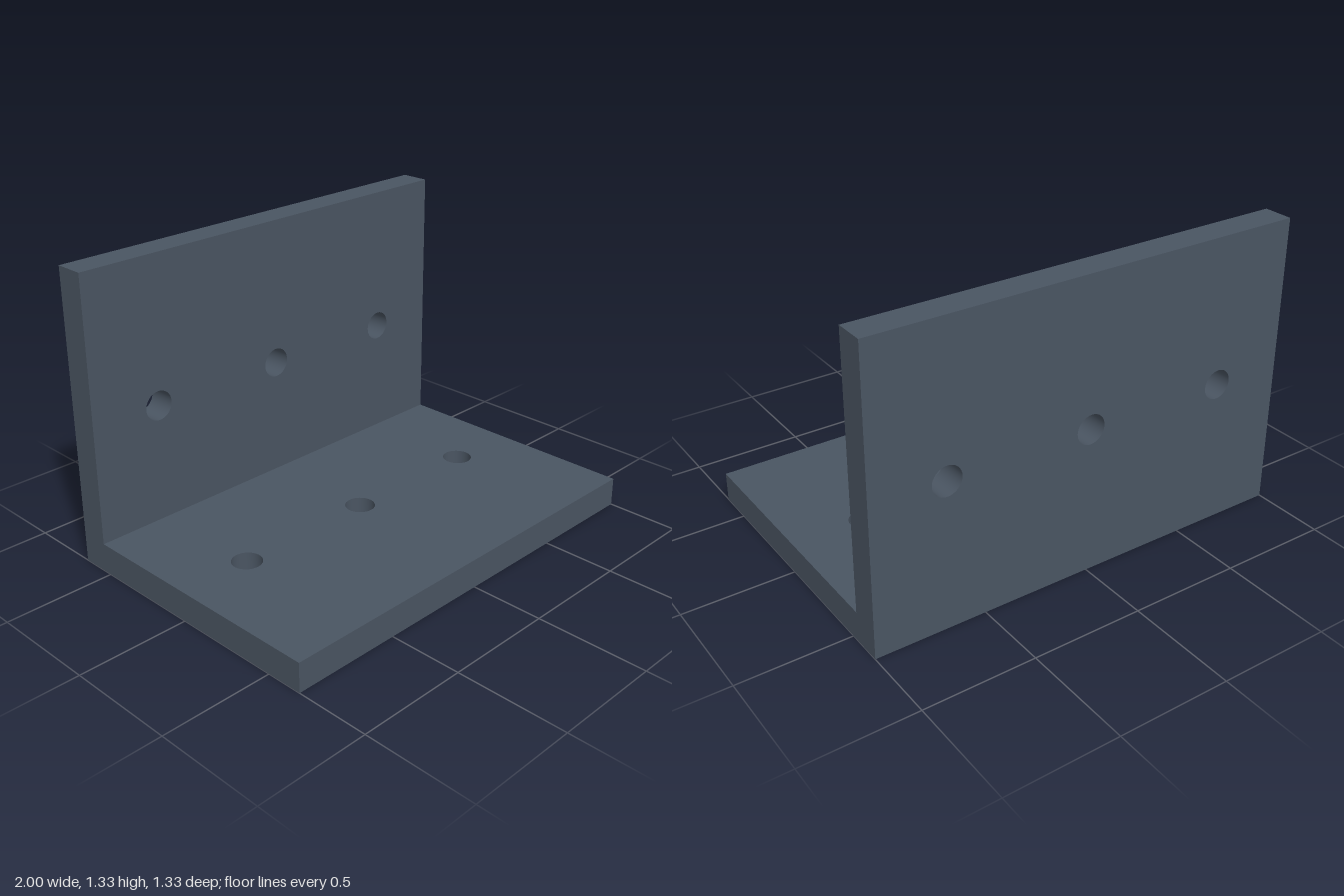
import * as THREE from 'three';
import { toCreasedNormals } from 'three/addons/utils/BufferGeometryUtils.js';

const HALF_WIDTH = 1;
const HALF_DEPTH = 2 / 3;
const HEIGHT = 4 / 3;
const THICKNESS = 0.4 / 3;
const HOLE_RADIUS = 0.2 / 3;
const HOLE_SPACING = 2 / 3;

// Plate spanning bottom..top in its own y, with a row of three holes at holeY
function drilledPlate(name, bottom, top, holeY, material) {
  const shape = new THREE.Shape();
  shape.moveTo(-HALF_WIDTH, bottom);
  shape.lineTo(HALF_WIDTH, bottom);
  shape.lineTo(HALF_WIDTH, top);
  shape.lineTo(-HALF_WIDTH, top);
  shape.closePath();
  for (const i of [-1, 0, 1]) {
    const hole = new THREE.Path();
    hole.absarc(i * HOLE_SPACING, holeY, HOLE_RADIUS, 0, Math.PI * 2, true);
    shape.holes.push(hole);
  }
  const geometry = new THREE.ExtrudeGeometry(shape, {
    depth: THICKNESS, bevelEnabled: false, curveSegments: 16,
  });
  // Smooth hole walls, sharp plate edges
  const mesh = new THREE.Mesh(toCreasedNormals(geometry, Math.PI / 6), material);
  mesh.name = name;
  return mesh;
}

export function createModel() {
  const group = new THREE.Group();
  group.name = 'angleBracket';
  const material = new THREE.MeshStandardMaterial({ color: 0x4a5562 });

  // Horizontal flange lying on the ground
  const base = drilledPlate('baseFlange', -HALF_DEPTH, HALF_DEPTH, 0, material);
  base.rotation.x = -Math.PI / 2;

  // Upright flange standing on the back edge of the base
  const upright = drilledPlate('uprightFlange', THICKNESS, HEIGHT, HEIGHT / 2, material);
  upright.position.z = -HALF_DEPTH;

  group.add(base, upright);
  return group;
}
